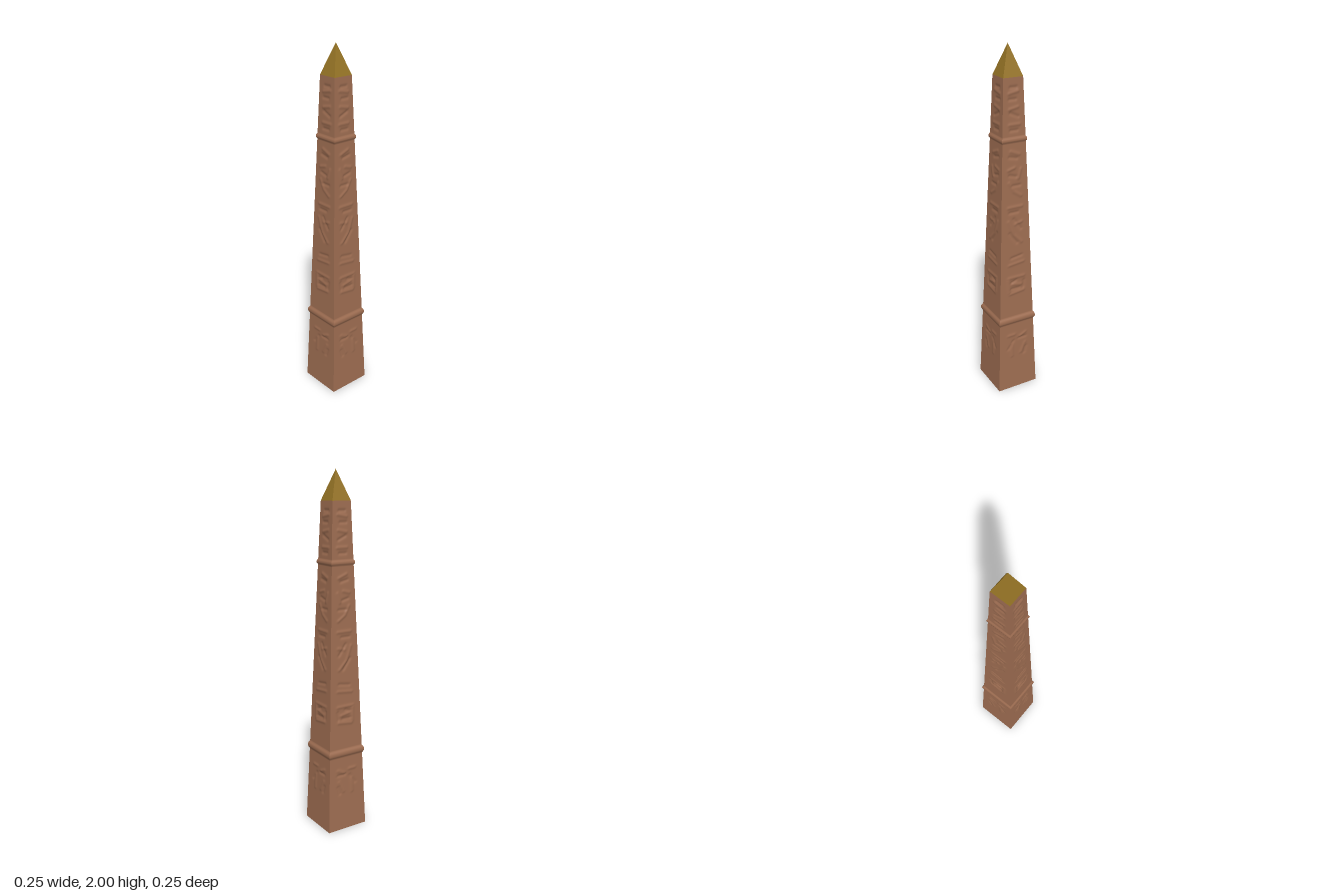
import * as THREE from 'three';

const SHAFT_H = 1.84, BASE = 0.125, TOP = 0.057;

// Abstract relief strokes: x0, y0, x1, y1 (x as a fraction of the half width)
const raised = [
  [-0.5, 0.36, -0.15, 0.34], [0.15, 0.36, 0.5, 0.36], [-0.45, 0.29, -0.2, 0.23], [0.3, 0.3, 0.3, 0.22],
  [-0.5, 0.73, 0.5, 0.73], [-0.45, 0.64, 0.4, 0.63], [0.5, 0.72, 0.45, 0.64], [-0.3, 0.68, 0.25, 0.69],
  [-0.5, 0.82, 0.45, 0.81], [-0.4, 0.94, 0.15, 0.99], [0.15, 0.99, 0.5, 1.07], [-0.45, 1.06, 0.0, 1.05],
  [-0.5, 1.15, 0.5, 1.15], [-0.45, 1.21, 0.1, 1.24], [0.1, 1.24, 0.45, 1.29], [-0.5, 1.36, -0.3, 1.31],
  [0.0, 1.37, 0.5, 1.36], [-0.4, 1.44, 0.3, 1.46], [-0.5, 1.6, 0.4, 1.6], [-0.4, 1.69, 0.4, 1.68], [-0.45, 1.77, 0.45, 1.76],
];
const carved = [
  [-0.5, 0.33, -0.1, 0.33], [0.2, 0.32, 0.5, 0.27], [-0.5, 0.26, -0.4, 0.22], [-0.5, 0.7, -0.45, 0.66],
  [-0.2, 0.66, 0.3, 0.66], [0.0, 0.71, 0.3, 0.7], [-0.4, 0.86, 0.3, 0.85], [-0.1, 0.94, 0.4, 1.0],
  [-0.4, 1.02, 0.1, 1.08], [-0.2, 1.12, 0.4, 1.12], [-0.4, 1.27, 0.2, 1.27], [-0.1, 1.32, 0.4, 1.33],
  [-0.2, 1.42, 0.4, 1.43], [-0.3, 1.57, 0.3, 1.57], [-0.4, 1.64, 0.3, 1.66], [-0.2, 1.73, 0.4, 1.73], [-0.3, 1.79, 0.3, 1.79],
];

// Half width of the taper, with the two rounded bands
function halfWidth(y) {
  const bump = (c, h, d) => d * Math.sqrt(Math.max(0, 1 - ((y - c) / h) ** 2));
  return THREE.MathUtils.lerp(BASE, TOP, y / SHAFT_H) + bump(0.46, 0.019, 0.009) + bump(1.52, 0.013, 0.006);
}

// Soft falloff around a stroke
function stroke(px, py, [x0, y0, x1, y1], w) {
  const ax = x0 * w, dx = x1 * w - ax, dy = y1 - y0;
  const t = THREE.MathUtils.clamp(((px - ax) * dx + (py - y0) * dy) / (dx * dx + dy * dy), 0, 1);
  const d2 = (px - ax - t * dx) ** 2 + (py - y0 - t * dy) ** 2;
  return Math.exp(-d2 / 0.00006);
}

// One face of the shaft with its shallow relief
function faceGeometry(mirror) {
  const geo = new THREE.PlaneGeometry(2, SHAFT_H, 26, 320);
  const p = geo.attributes.position;
  for (let i = 0; i < p.count; i++) {
    const u = p.getX(i), y = p.getY(i) + SHAFT_H / 2;
    const w = halfWidth(y), x = u * w;
    let up = 0, down = 0;
    for (const s of raised) up = Math.max(up, stroke(x * mirror, y, s, w));
    for (const s of carved) down = Math.max(down, stroke(x * mirror, y, s, w));
    const fade = 1 - THREE.MathUtils.smoothstep(Math.abs(u), 0.75, 1);
    p.setXYZ(i, x, y, w + (0.0035 * up - 0.004 * down) * fade);
  }
  geo.computeVertexNormals();
  return geo;
}

export function createModel() {
  const group = new THREE.Group();
  const stone = new THREE.MeshStandardMaterial({ color: 0x9f6e52 });
  stone.name = 'red stone';
  const gold = new THREE.MeshStandardMaterial({ color: 0x957325 });
  gold.name = 'dull gold';
  const add = (name, geo, mat) => {
    const mesh = new THREE.Mesh(geo, mat);
    mesh.name = name;
    group.add(mesh);
    return mesh;
  };

  // Four tapering sides, neighbours mirrored
  const faces = [faceGeometry(1), faceGeometry(-1)];
  ['front', 'left', 'back', 'right'].forEach((side, k) => {
    add(side + 'ShaftFace', faces[k % 2], stone).rotation.y = k * Math.PI / 2;
  });

  // Gilded pyramid tip
  const tip = new THREE.ConeGeometry(TOP * Math.SQRT2, 2 - SHAFT_H, 4, 1, true).toNonIndexed();
  tip.rotateY(Math.PI / 4);
  tip.computeVertexNormals();
  add('pyramidTip', tip, gold).position.y = (2 + SHAFT_H) / 2;

  // Underside: a narrow rim around a shallow recess
  const square = (h, path) => path.moveTo(-h, -h).lineTo(h, -h).lineTo(h, h).lineTo(-h, h).closePath();
  const inner = BASE - 0.008;
  const rim = square(BASE, new THREE.Shape());
  rim.holes.push(square(inner, new THREE.Path()));
  const rimGeo = new THREE.ExtrudeGeometry(rim, { depth: 0.008, bevelEnabled: false });
  rimGeo.rotateX(-Math.PI / 2);
  rimGeo.scale(0.998, 1, 0.998);
  add('bottomRim', rimGeo, stone);
  const floor = new THREE.PlaneGeometry(inner * 2, inner * 2);
  floor.rotateX(Math.PI / 2);
  add('underside', floor, stone).position.y = 0.007;

  return group;
}
